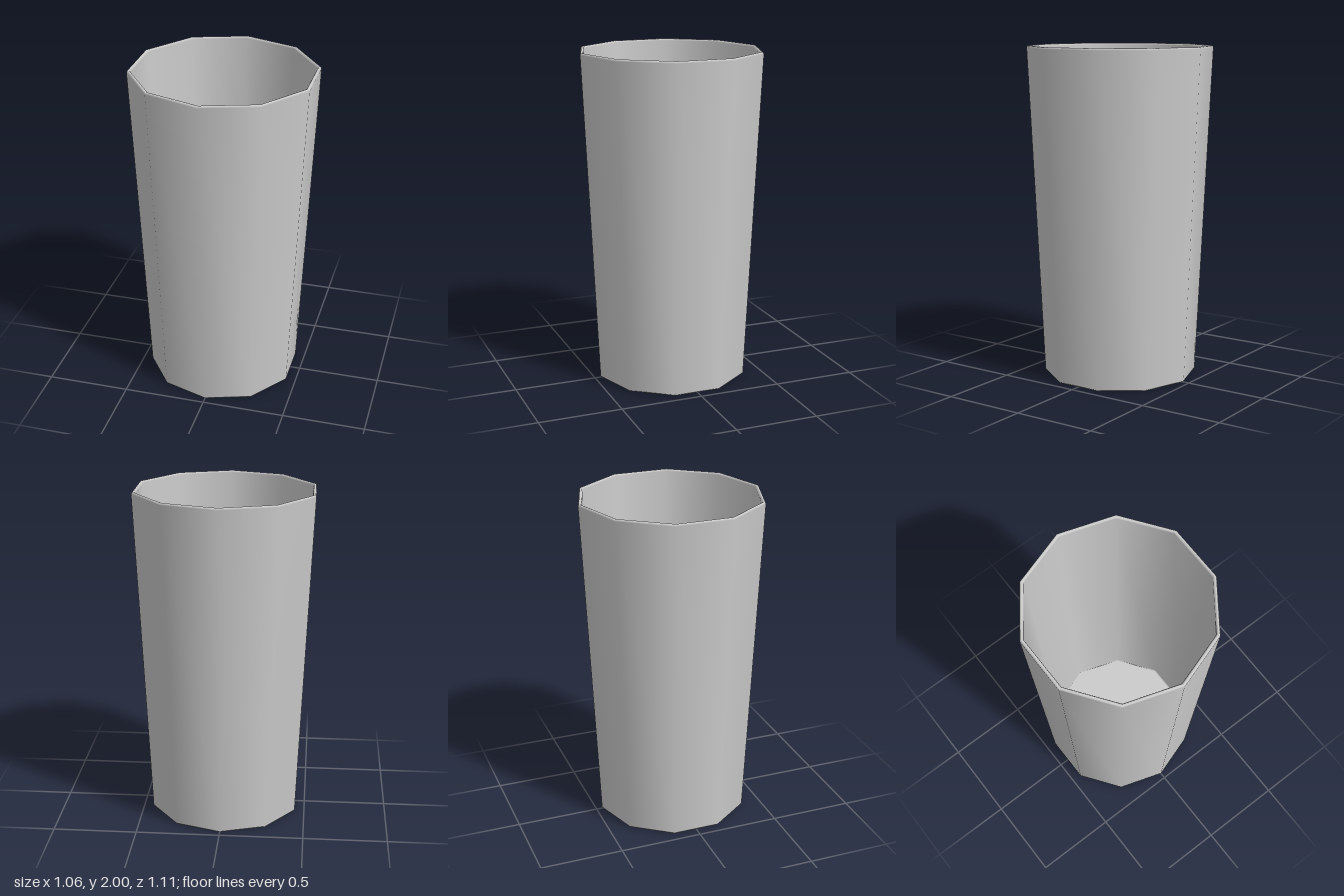
import * as THREE from 'three';

export function createModel() {
  const group = new THREE.Group();
  group.name = 'tumbler';

  // Closed profile: underside, outer wall, rounded rim, inner wall, floor
  const profile = [
    [0, 0], [0.457, 0], [0.464, 0.008],
    [0.557, 1.988], [0.553, 1.997], [0.546, 2], [0.539, 1.997], [0.534, 1.988],
    [0.446, 0.032], [0.439, 0.024], [0, 0.024],
  ].map(([r, y]) => new THREE.Vector2(r, y));

  // Ten-sided tapered cup with corners on the z axis
  const cup = new THREE.Mesh(
    new THREE.LatheGeometry(profile, 10),
    new THREE.MeshStandardMaterial({ color: 0xcccccc })
  );
  cup.name = 'cup';
  group.add(cup);
  return group;
}
